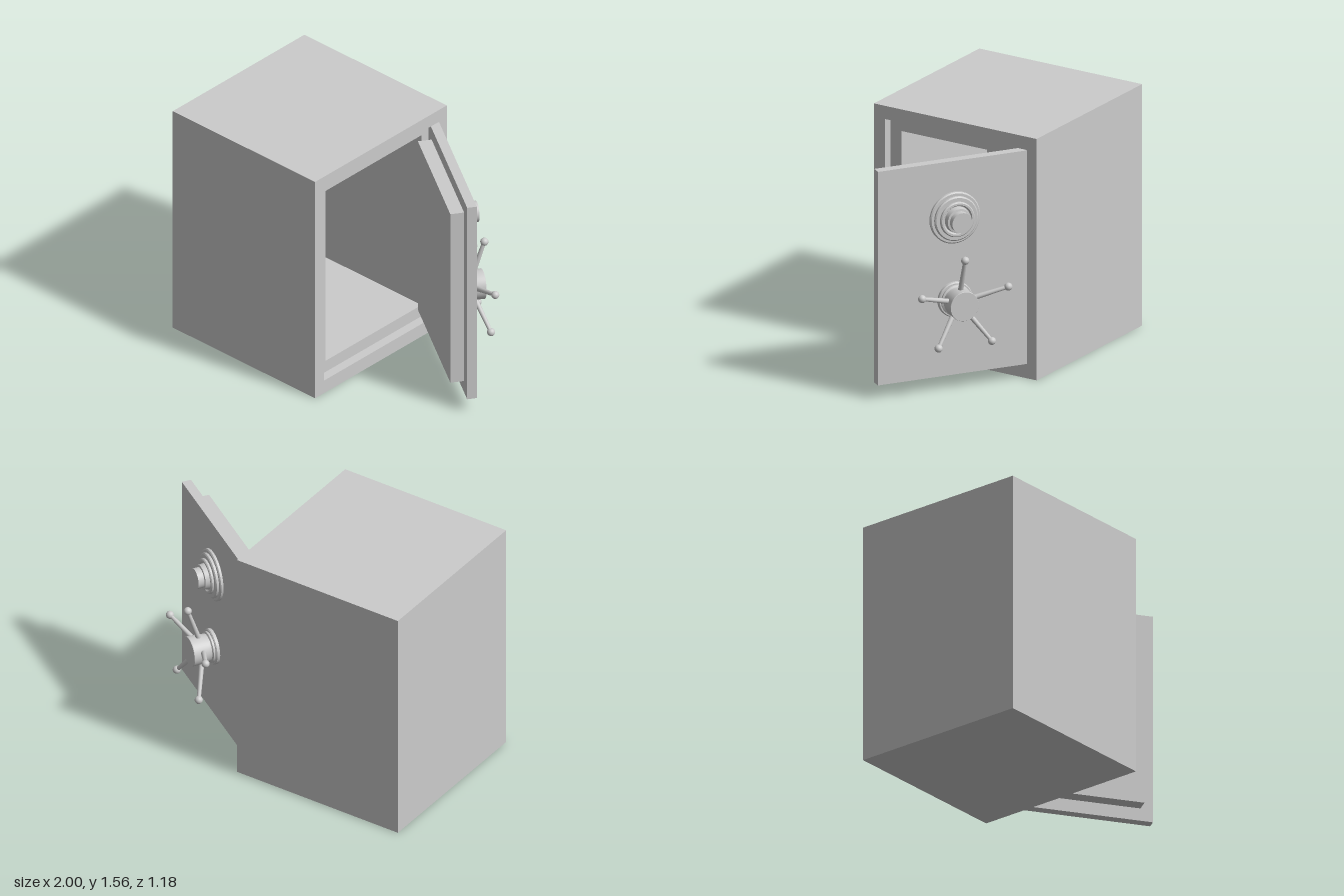
import * as THREE from 'three';
import { toCreasedNormals } from 'three/addons/utils/BufferGeometryUtils.js';

const material = new THREE.MeshStandardMaterial({ color: 0xcccccc });

function part(name, geometry, parent, x = 0, y = 0, z = 0) {
  const mesh = new THREE.Mesh(geometry, material);
  mesh.name = name;
  mesh.position.set(x, y, z);
  parent.add(mesh);
  return mesh;
}

// Rectangular tube running along x from x0 to x1, with an opening inset from the outside
function frame(x0, x1, halfWidth, bottom, top) {
  const shape = new THREE.Shape([[-0.59, 0], [0.59, 0], [0.59, 1.56], [-0.59, 1.56]]
    .map(([x, y]) => new THREE.Vector2(x, y)));
  shape.holes.push(new THREE.Path([[-halfWidth, bottom], [-halfWidth, top], [halfWidth, top], [halfWidth, bottom]]
    .map(([x, y]) => new THREE.Vector2(x, y))));
  return new THREE.ExtrudeGeometry(shape, { depth: x1 - x0, bevelEnabled: false })
    .rotateY(Math.PI / 2).translate(x0, 0, 0);
}

// Turned part whose axis points out of the door (+z); points are [radius, height]
function turned(points) {
  const geometry = new THREE.LatheGeometry(points.map(([r, h]) => new THREE.Vector2(r, h)), 40);
  return toCreasedNormals(geometry.rotateX(Math.PI / 2), 0.5);
}

export function createModel() {
  const model = new THREE.Group();
  model.name = 'safe';

  // Body: back wall, hollow shell and wider rebate for the door
  const body = new THREE.Group();
  body.name = 'body';
  model.add(body);
  part('backWall', new THREE.BoxGeometry(0.16, 1.56, 1.18), body, -0.92, 0.78, 0);
  part('shell', frame(-0.84, 0.12, 0.43, 0.17, 1.395), body);
  part('doorRebate', frame(0.12, 0.18, 0.51, 0.09, 1.475), body);

  // Open door: local +z is its outer face
  const door = new THREE.Group();
  door.name = 'door';
  door.position.set(0.58, 0, -0.253);
  door.rotation.y = Math.atan2(0.556, -0.831);
  model.add(door);
  part('doorSlab', new THREE.BoxGeometry(1.01, 1.38, 0.06), door, 0, 0.783, -0.03);
  part('doorPlug', new THREE.BoxGeometry(0.85, 1.215, 0.087), door, 0, 0.783, -0.1025);

  // Combination dial
  part('dial', turned([
    [0.165, 0], [0.165, 0.014], [0.158, 0.02], [0.142, 0.02], [0.142, 0.034], [0.135, 0.04],
    [0.112, 0.04], [0.112, 0.052], [0.106, 0.058], [0.094, 0.058], [0.086, 0.046],
    [0.082, 0.046], [0.078, 0.082], [0.065, 0.084], [0.065, 0.123], [0, 0.123],
  ]), door, 0, 1.11, 0);

  // Spoked handle
  const handle = new THREE.Group();
  handle.name = 'handle';
  handle.position.set(0, 0.583, 0);
  door.add(handle);
  part('handleHub', turned([
    [0.112, 0], [0.112, 0.018], [0.106, 0.024], [0.098, 0.024], [0.098, 0.036],
    [0.088, 0.042], [0.088, 0.06], [0.092, 0.08], [0.094, 0.158], [0.092, 0.161], [0, 0.161],
  ]), handle);

  const inner = new THREE.Vector3(0, 0.07, 0.092);
  const outer = new THREE.Vector3(0, 0.3, 0.168);
  const direction = outer.clone().sub(inner);
  for (let i = 0; i < 5; i++) {
    const spoke = new THREE.Group();
    spoke.name = 'spoke' + (i + 1);
    spoke.rotation.z = i * Math.PI * 2 / 5;
    handle.add(spoke);
    const rod = part('spokeRod', new THREE.CylinderGeometry(0.012, 0.017, direction.length(), 16), spoke);
    rod.position.copy(inner).add(outer).multiplyScalar(0.5);
    rod.quaternion.setFromUnitVectors(new THREE.Vector3(0, 1, 0), direction.clone().normalize());
    part('spokeKnob', new THREE.SphereGeometry(0.025, 20, 14), spoke, outer.x, outer.y, outer.z);
  }

  return model;
}
